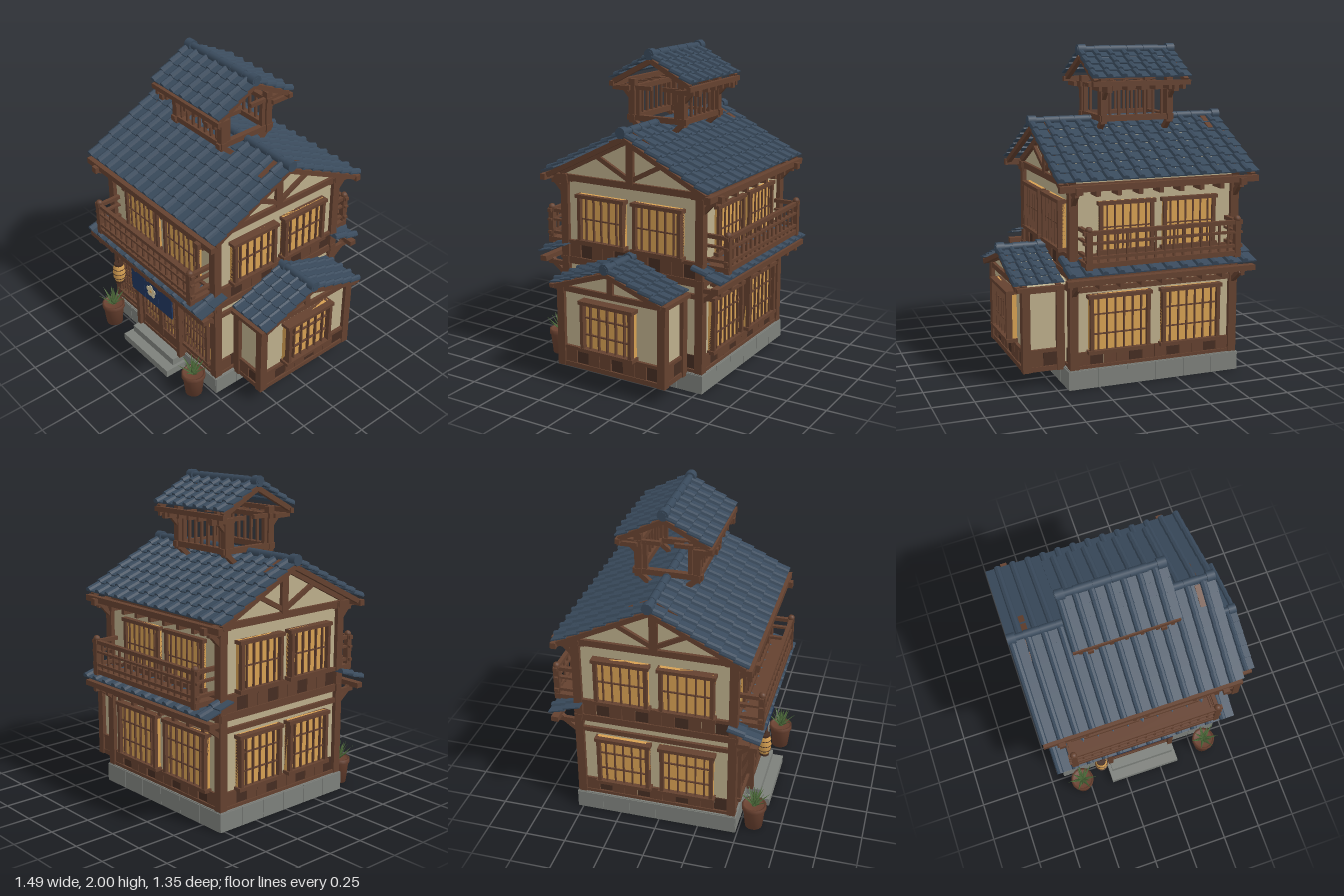
import * as THREE from 'three';

const mat = (name, color) => { const m = new THREE.MeshStandardMaterial({ color }); m.name = name; return m; };
const slate = mat('slate', 0x394a5c), wood = mat('wood', 0x64412f), darkWood = mat('dark wood', 0x452d22),
  plaster = mat('plaster', 0xbcae8b), paper = mat('paper', 0xd6a052), stone = mat('stone', 0x7d807b),
  cloth = mat('cloth', 0x20365e), clay = mat('clay', 0x68402f), leaf = mat('leaf', 0x4d6b3a), cream = mat('cream', 0xd8cba4);
const CX = -0.11, CZ = -0.022, HW = 0.515, HD = 0.478; // house centre and half sizes

function add(parent, name, geo, m, x = 0, y = 0, z = 0) {
  const mesh = new THREE.Mesh(geo, m);
  mesh.name = name; mesh.position.set(x, y, z); parent.add(mesh);
  return mesh;
}
function group(parent, name, x = 0, y = 0, z = 0, ry = 0) {
  const g = new THREE.Group();
  g.name = name; g.position.set(x, y, z); g.rotation.y = ry; parent.add(g);
  return g;
}
// box given by its limits
const box = (p, name, m, x0, x1, y0, y1, z0, z1) => add(p, name,
  new THREE.BoxGeometry(x1 - x0, y1 - y0, z1 - z0), m, (x0 + x1) / 2, (y0 + y1) / 2, (z0 + z1) / 2);
// timber between two points
function beam(p, name, m, a, b, w, h = w) {
  const A = new THREE.Vector3(...a), B = new THREE.Vector3(...b), d = B.clone().sub(A), len = d.length();
  const mesh = add(p, name, new THREE.BoxGeometry(w, h, len), m);
  mesh.position.copy(A.add(B).multiplyScalar(0.5));
  mesh.quaternion.setFromUnitVectors(new THREE.Vector3(0, 0, 1), d.normalize());
}
// overlapping rows of pan and roll tiles running down from the local origin towards +z
function slope(p, w, run, drop, rows, cols) {
  const a = Math.atan2(drop, run), len = Math.hypot(run, drop) / rows, c = w / cols;
  const s = new THREE.Shape();
  s.moveTo(-w / 2, 0);
  for (let i = 0; i < cols; i++) {
    const x = -w / 2 + i * c;
    for (let k = 0; k <= 4; k++) {
      const t = Math.PI * k / 4;
      s.lineTo(x + c * (0.22 - 0.22 * Math.cos(t)), 0.008 + 0.02 * Math.sin(t));
    }
    s.lineTo(x + c, 0.008);
  }
  s.lineTo(w / 2, 0);
  const geo = new THREE.ExtrudeGeometry(s, { depth: len * 1.06, bevelEnabled: false });
  for (let i = 0; i < rows; i++) {
    const row = add(p, 'tileRow', geo, slate, 0, -Math.sin(a) * len * i, Math.cos(a) * len * i);
    row.rotation.x = a - 0.012 / len;
  }
}
function gableRoof(p, name, x, y, z, w, half, drop, rows, cols) {
  const g = group(p, name, x, y, z);
  for (const ry of [0, Math.PI]) slope(group(g, 'roofSlope', 0, 0, 0, ry), w, half, drop, rows, cols);
  const n = Math.round(w / 0.1), seg = w / n;
  for (let i = 0; i < n; i++) {
    const end = i === 0 || i === n - 1;
    const r = end ? 0.034 : 0.026;
    add(g, 'ridgeTile', new THREE.CylinderGeometry(r, r, end ? 0.05 : seg * 0.95, 10), slate,
      (i + 0.5 - n / 2) * seg + (i === 0 ? -0.025 : end ? 0.025 : 0), 0.015, 0).rotation.z = Math.PI / 2;
    add(g, 'ridgeCore', new THREE.CylinderGeometry(0.022, 0.022, seg, 10), slate, (i + 0.5 - n / 2) * seg, 0.015, 0).rotation.z = Math.PI / 2;
  }
  // rafters under both verges
  for (const sx of [-1, 1]) for (const sz of [-1, 1])
    beam(g, 'vergeRafter', wood, [sx * (w / 2 - 0.03), -0.025, 0], [sx * (w / 2 - 0.03), -drop - 0.015, sz * half * 0.97], 0.03, 0.03);
}
// plaster gable running along x
function gableWall(p, x0, x1, z, half, y0, y1, top) {
  const s = new THREE.Shape([[-half, y0], [half, y0], [half, y1], [0, top], [-half, y1]].map(v => new THREE.Vector2(...v)));
  add(p, 'gableWall', new THREE.ExtrudeGeometry(s, { depth: x1 - x0, bevelEnabled: false }), plaster, x0, 0, z).rotation.y = Math.PI / 2;
}
// lattice window, bottom centre at the origin, facing +z
function latticeWindow(p, name, x, y, z, ry, w, h, cols, rows, depth = 0.04) {
  const g = group(p, name, x, y, z, ry), f = 0.022, W = w / 2;
  box(g, 'paperPane', paper, -W, W, 0, h, 0, depth * 0.45);
  for (const s of [-1, 1]) box(g, 'jamb', wood, s * (W - f / 2) - f / 2, s * (W - f / 2) + f / 2, 0, h, 0, depth);
  for (const yy of [0, h - f]) box(g, 'rail', wood, -W - 0.012, W + 0.012, yy, yy + f, 0, depth + 0.004);
  for (let i = 1; i < cols; i++) box(g, 'bar', wood, -W + w * i / cols - 0.004, -W + w * i / cols + 0.004, f, h - f, 0, depth * 0.75);
  for (let i = 1; i < rows; i++) box(g, 'crossBar', wood, -W + f, W - f, h * i / rows - 0.004, h * i / rows + 0.004, 0, depth * 0.65);
}
// row of boards on a wall
function dado(p, x, y, z, ry, w, h) {
  const g = group(p, 'boardedDado', x, y, z, ry), n = Math.round(w / 0.08);
  for (let i = 0; i < n; i++) box(g, 'board', i % 3 === 1 ? darkWood : wood,
    -w / 2 + w * i / n + 0.002, -w / 2 + w * (i + 1) / n - 0.002, 0, h, -0.005, i % 3 === 1 ? 0.008 : 0.014);
}
// pent roof and balcony for front or back, origin on the house axis
function balconySide(p, ry) {
  const g = group(p, 'balconySide', CX, 0, CZ, ry);
  slope(group(g, 'pentRoof', 0, 0.785, 0.45), 1.19, 0.19, 0.075, 2, 12);
  box(g, 'pentPurlin', wood, -0.595, 0.595, 0.662, 0.695, 0.59, 0.635);
  for (let i = 0; i < 9; i++) {
    const x = -0.52 + i * 0.13;
    box(g, 'pentRafter', wood, x - 0.012, x + 0.012, 0.632, 0.66, 0.45, 0.62);
    box(g, 'eaveRafter', wood, x - 0.013, x + 0.013, 1.165, 1.2, 0.45, 0.58);
  }
  for (const x of [-0.515, 0.515]) {
    beam(g, 'eaveBrace', wood, [x, 1.09, 0.47], [x, 1.2, 0.575], 0.028);
    beam(g, 'pentBrace', wood, [x, 0.56, 0.47], [x, 0.66, 0.6], 0.028);
    box(g, 'eaveBracket', wood, x - 0.02, x + 0.02, 1.185, 1.225, 0.42, 0.62);
  }
  box(g, 'eavePurlin', wood, -0.625, 0.625, 1.198, 1.235, 0.56, 0.595);
  const b = group(g, 'balcony');
  box(b, 'balconyFloor', wood, -0.49, 0.49, 0.765, 0.795, 0.47, 0.645);
  for (const [y, t] of [[0.955, 0.024], [0.9, 0.014], [0.815, 0.018]]) {
    box(b, 'handrail', wood, -0.5, 0.5, y, y + t, 0.617, 0.643);
    for (const x of [-0.468, 0.468]) box(b, 'sideRail', wood, x - 0.012, x + 0.012, y, y + t, 0.47, 0.63);
  }
  for (let i = 1; i < 16; i++) box(b, 'baluster', wood, -0.468 + i * 0.0585 - 0.006, -0.468 + i * 0.0585 + 0.006, 0.79, 0.96, 0.624, 0.636);
  for (const x of [-0.468, 0.468]) {
    box(b, 'balconyPost', wood, x - 0.018, x + 0.018, 0.755, 0.98, 0.612, 0.648);
    add(b, 'finial', new THREE.SphereGeometry(0.022, 10, 8), wood, x, 0.985, 0.63);
  }
  for (const x of [-0.185, 0.215]) latticeWindow(g, 'upperWindow', x, 0.81, HD, 0, 0.34, 0.31, 7, 2, 0.03);
}
function pottedPlant(p, x, z) {
  const g = group(p, 'pottedPlant', x, 0, z);
  const prof = [[0, 0], [0.054, 0], [0.068, 0.13], [0.076, 0.132], [0.076, 0.16], [0.064, 0.16], [0.062, 0.145], [0, 0.145]];
  add(g, 'pot', new THREE.LatheGeometry(prof.map(v => new THREE.Vector2(...v)), 16), clay);
  const geo = new THREE.ConeGeometry(0.014, 0.13, 4).translate(0, 0.065, 0).scale(1, 1, 0.4);
  for (let i = 0; i < 18; i++) {
    const l = add(g, 'leaf', geo, leaf, 0, 0.15, 0);
    l.rotation.set(0.15 + (i % 3) * 0.36, i * 2.4, 0, 'YXZ');
  }
}

export function createModel() {
  const root = new THREE.Group();
  root.name = 'townhouse';

  // stone base and steps
  box(root, 'plinth', stone, CX - 0.546, CX + 0.546, 0, 0.12, CZ - 0.506, CZ + 0.506);
  for (let i = 0; i < 4; i++) {
    const along = i % 2 ? 1.02 : 1.1, off = i % 2 ? 0.546 : 0.506;
    const g = group(root, 'baseCourse', CX, 0, CZ, i * Math.PI / 2);
    for (let k = 0; k < 6; k++) box(g, 'baseStone', stone, along * (k / 6 - 0.5) + 0.002, along * ((k + 1) / 6 - 0.5) - 0.002, 0.002, 0.115, off - 0.02, off + 0.005);
  }
  box(root, 'lowerStep', stone, -0.35, 0.125, 0, 0.05, 0.45, 0.64);
  box(root, 'upperStep', stone, -0.33, 0.105, 0.05, 0.1, 0.45, 0.575);

  // house walls and frame
  box(root, 'walls', plaster, CX - HW, CX + HW, 0.11, 1.22, CZ - HD, CZ + HD);
  gableWall(root, CX - HW, CX + HW, CZ, HD, 1.2, 1.25, 1.495);
  for (const sx of [-1, 1]) for (const sz of [-1, 1]) {
    const x = CX + sx * HW, z = CZ + sz * HD;
    box(root, 'cornerPost', wood, x - 0.026, x + 0.026, 0.115, 1.22, z - 0.026, z + 0.026);
  }
  for (const [y, h, o] of [[0.115, 0.025, 0.025], [0.585, 0.03, 0.018], [0.66, 0.045, 0.03], [0.79, 0.022, 0.02], [1.19, 0.04, 0.03]]) {
    for (const s of [-1, 1]) {
      box(root, 'longBeam', wood, CX - HW - o, CX + HW + o, y, y + h, CZ + s * HD - 0.02, CZ + s * HD + 0.02);
      box(root, 'crossBeam', wood, CX + s * HW - 0.02, CX + s * HW + 0.02, y, y + h, CZ - HD - o, CZ + HD + o);
    }
  }

  // gable ends, side windows and dado boards
  for (const s of [-1, 1]) {
    const x = CX + s * (HW + 0.005), ry = s * Math.PI / 2;
    box(root, 'kingPost', wood, x - 0.018, x + 0.018, 1.22, 1.51, CZ - 0.025, CZ + 0.025);
    for (const t of [-1, 1]) {
      beam(root, 'gableStrut', wood, [x, 1.24, CZ], [x, 1.37, CZ + t * 0.25], 0.03, 0.028);
      beam(root, 'gableRafter', wood, [x, 1.49, CZ], [x, 1.235, CZ + t * 0.51], 0.036, 0.036);
      beam(root, 'rafterCrown', wood, [x, 1.523, CZ + t * 0.02], [x, 1.463, CZ + t * 0.14], 0.034, 0.034);
      latticeWindow(root, 'upperSideWindow', CX + s * HW, 0.81, CZ + t * 0.2, ry, 0.33, 0.31, 6, 2, 0.05);
      if (s < 0) latticeWindow(root, 'lowerSideWindow', CX + s * HW, 0.22, CZ + t * 0.2, ry, 0.33, 0.34, 6, 3, 0.05);
    }
    dado(root, CX + s * HW, 0.14, CZ, ry, 0.9, 0.085);
    dado(root, CX + s * HW, 0.705, CZ, ry, 0.9, 0.085);
    dado(root, CX, 0.14, CZ + s * HD, s > 0 ? 0 : Math.PI, 0.98, 0.08);
  }
  for (const x of [-0.34, 0.12]) latticeWindow(root, 'backWindow', x, 0.21, CZ - HD, Math.PI, 0.38, 0.36, 7, 3, 0.045);
  balconySide(root, 0);
  balconySide(root, Math.PI);
  gableRoof(root, 'mainRoof', CX, 1.53, CZ - 0.002, 1.27, 0.57, 0.285, 7, 13);

  // shop front with doors, curtain and lantern
  const zf = CZ + HD;
  for (const x of [-0.455, 0.235]) latticeWindow(root, 'frontWindow', x, 0.2, zf, 0, 0.27, 0.37, 9, 4, 0.045);
  for (const x of [-0.21, -0.01]) {
    latticeWindow(root, 'slidingDoor', x, 0.1, zf + 0.01, 0, 0.2, 0.5, 6, 6);
    box(root, 'doorPanel', wood, x - 0.09, x + 0.09, 0.11, 0.195, zf + 0.02, zf + 0.047);
  }
  for (const x of [-0.325, 0.105]) box(root, 'entryPost', wood, x - 0.016, x + 0.016, 0.1, 0.63, 0.46, 0.53);
  box(root, 'entryHeader', wood, -0.6, 0.38, 0.595, 0.64, 0.46, 0.54);
  add(root, 'curtainRod', new THREE.CylinderGeometry(0.008, 0.008, 0.46, 8), darkWood, CX, 0.622, 0.562).rotation.z = Math.PI / 2;
  for (let i = -1; i < 2; i++) box(root, 'curtainPanel', cloth, CX + i * 0.143 - 0.07, CX + i * 0.143 + 0.07, 0.435, 0.622, 0.557, 0.566);
  for (let i = 0; i < 5; i++) {
    const a = Math.PI / 2 + i * Math.PI * 0.4;
    add(root, 'blossomPetal', new THREE.CylinderGeometry(0.019, 0.019, 0.004, 12), cream, CX + Math.cos(a) * 0.029, 0.53 + Math.sin(a) * 0.029, 0.568).rotation.x = Math.PI / 2;
  }
  add(root, 'blossomCentre', new THREE.CylinderGeometry(0.011, 0.011, 0.006, 10), paper, CX, 0.53, 0.569).rotation.x = Math.PI / 2;
  const lantern = group(root, 'lantern', -0.41, 0.525, 0.605);
  const bulge = [[0.027, -0.065], [0.037, -0.04], [0.041, 0], [0.037, 0.04], [0.027, 0.065]].map(v => new THREE.Vector2(...v));
  add(lantern, 'lanternBody', new THREE.LatheGeometry(bulge, 14), paper);
  for (const y of [-0.068, 0.068]) add(lantern, 'lanternCap', new THREE.CylinderGeometry(0.03, 0.03, 0.014, 14), darkWood, 0, y, 0);
  for (const y of [-0.035, 0, 0.035]) add(lantern, 'lanternHoop', new THREE.TorusGeometry(y ? 0.038 : 0.041, 0.0025, 5, 16), darkWood, 0, y, 0).rotation.x = Math.PI / 2;
  add(lantern, 'lanternCord', new THREE.CylinderGeometry(0.004, 0.004, 0.08, 6), darkWood, 0, 0.11, 0);
  pottedPlant(root, -0.55, 0.582);
  pottedPlant(root, 0.33, 0.582);

  // side annex
  const annex = group(root, 'annex', 0, 0, -0.045), ad = 0.355;
  box(annex, 'annexWalls', plaster, 0.4, 0.665, 0.105, 0.6, -ad, ad);
  gableWall(annex, 0.4, 0.665, 0, ad, 0.58, 0.62, 0.745);
  for (const s of [-1, 1]) {
    for (const x of [0.455, 0.665]) box(annex, 'annexPost', wood, x - 0.024, x + 0.024, 0.1, 0.61, s * ad - 0.026, s * ad + 0.026);
    for (const [y, h] of [[0.1, 0.03], [0.215, 0.02], [0.58, 0.035]]) box(annex, 'annexBeam', wood, 0.44, 0.68, y, y + h, s * ad - 0.018, s * ad + 0.018);
    dado(annex, 0.56, 0.13, s * ad, s > 0 ? 0 : Math.PI, 0.19, 0.085);
    box(annex, 'annexPurlin', wood, 0.44, 0.725, 0.6, 0.625, s * 0.395 - 0.014, s * 0.395 + 0.014);
    beam(annex, 'annexRafter', wood, [0.672, 0.745, 0], [0.672, 0.615, s * 0.37], 0.03, 0.03);
  }
  for (const [y, h] of [[0.1, 0.03], [0.215, 0.02], [0.58, 0.035]]) box(annex, 'annexEndBeam', wood, 0.65, 0.685, y, y + h, -ad - 0.02, ad + 0.02);
  box(annex, 'annexKingPost', wood, 0.66, 0.685, 0.6, 0.75, -0.02, 0.02);
  dado(annex, 0.665, 0.13, 0, Math.PI / 2, 0.66, 0.085);
  latticeWindow(annex, 'annexWindow', 0.665, 0.235, 0.005, Math.PI / 2, 0.36, 0.32, 6, 3, 0.065);
  gableRoof(annex, 'annexRoof', 0.59, 0.768, 0, 0.31, 0.385, 0.14, 5, 4);

  // open roof lantern
  const cup = group(root, 'cupola', CX, 0, CZ);
  for (const sz of [-1, 1]) {
    const z = sz * 0.175;
    for (const sx of [-1, 1]) {
      const x = sx * 0.215;
      box(cup, 'cupolaPost', wood, x - 0.02, x + 0.02, 1.53, 1.8, z - 0.022, z + 0.022);
      box(cup, 'innerPost', wood, x - 0.013, x + 0.013, 1.57, 1.75, sz * 0.135 - 0.012, sz * 0.135 + 0.012);
      box(cup, 'sideRail', wood, x - 0.012, x + 0.012, 1.735, 1.76, sz * 0.105 - 0.065, sz * 0.105 + 0.065);
      box(cup, 'eaveArm', wood, x - 0.016, x + 0.016, 1.725, 1.76, sz * 0.235 - 0.06, sz * 0.235 + 0.06);
      beam(cup, 'cupolaFoot', wood, [x, 1.55, sz * 0.18], [x, 1.46, sz * 0.08], 0.03);
      beam(cup, 'cupolaBrace', wood, [x, 1.67, z], [x, 1.75, sz * 0.25], 0.024);
    }
    box(cup, 'sillBeam', wood, -0.24, 0.24, 1.545, 1.58, z - 0.02, z + 0.02);
    box(cup, 'headBeam', wood, -0.24, 0.24, 1.73, 1.76, z - 0.02, z + 0.02);
    for (let i = -3; i < 4; i++) {
      box(cup, 'slat', wood, i * 0.056 - 0.007, i * 0.056 + 0.007, 1.57, 1.74, z - 0.008, z + 0.008);
      box(cup, 'cupolaRafter', wood, i * 0.09 - 0.01, i * 0.09 + 0.01, 1.735, 1.762, sz * 0.225 - 0.06, sz * 0.225 + 0.06);
    }
    box(cup, 'cupolaPurlin', wood, -0.315, 0.315, 1.76, 1.79, sz * 0.272 - 0.014, sz * 0.272 + 0.014);
  }
  for (const x of [-0.215, 0.215]) box(cup, 'cupolaEndSill', wood, x - 0.018, x + 0.018, 1.545, 1.58, -0.21, 0.21);
  gableRoof(cup, 'cupolaRoof', 0, 1.951, 0, 0.64, 0.275, 0.15, 4, 7);
  return root;
}
